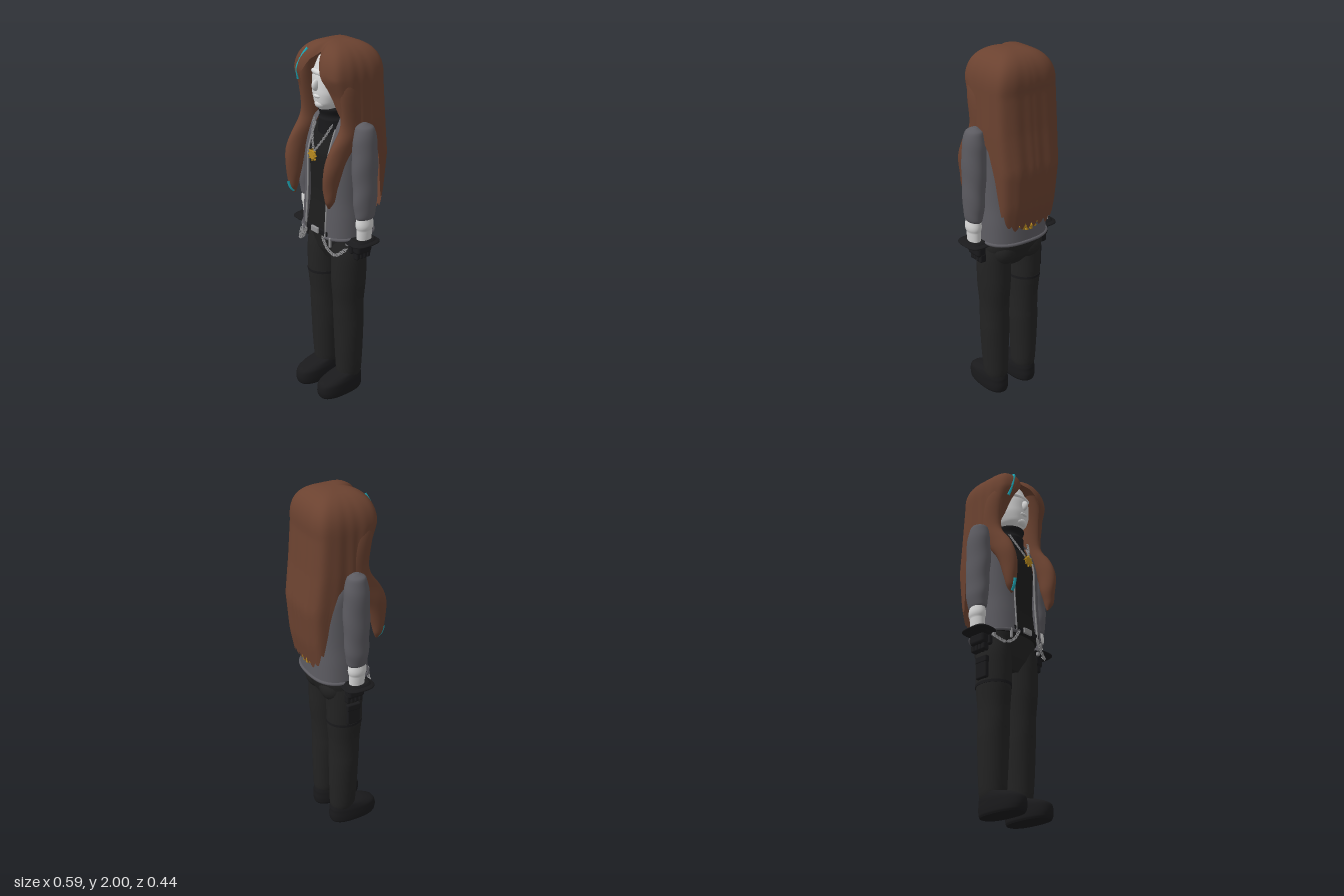
import * as THREE from 'three';
import { mergeGeometries } from 'three/addons/utils/BufferGeometryUtils.js';
import { RoundedBoxGeometry } from 'three/addons/geometries/RoundedBoxGeometry.js';

const mat = (name, color, side = THREE.FrontSide) => {
  const m = new THREE.MeshStandardMaterial({ color, side });
  m.name = name;
  return m;
};

// piecewise-linear lookup in [[x, value], ...]
function lookup(table, x) {
  for (let i = 1; i < table.length; i++) {
    const [x0, v0] = table[i - 1], [x1, v1] = table[i];
    if (x <= x1) return v0 + (v1 - v0) * Math.max(0, (x - x0) / (x1 - x0));
  }
  return table[table.length - 1][1];
}

// radius of a unit rounded square at angle a
const squircle = (a, e) => (Math.abs(Math.sin(a)) ** e + Math.abs(Math.cos(a)) ** e) ** (-1 / e);

// grid of points (rows top to bottom, columns from +z towards +x) to a surface
function gridSurface(rows, cols, closed, point, caps = false) {
  const pos = [], idx = [], w = closed ? cols : cols + 1;
  for (let j = 0; j <= rows; j++)
    for (let i = 0; i < w; i++) pos.push(...point(i / cols, j / rows));
  for (let j = 0; j < rows; j++)
    for (let i = 0; i < cols; i++) {
      const a = j * w + i, c = j * w + (i + 1) % w;
      idx.push(a, a + w, c, c, a + w, c + w);
    }
  if (caps) for (const j of [0, rows]) {
    const base = pos.length / 3, c = [0, 0, 0];
    for (let i = 0; i < w; i++) {
      const p = pos.slice((j * w + i) * 3, (j * w + i) * 3 + 3);
      pos.push(...p);
      p.forEach((v, k) => { c[k] += v / w; });
    }
    pos.push(...c);
    for (let i = 0; i < w; i++) {
      const n = (i + 1) % w;
      if (j) idx.push(base + w, base + n, base + i);
      else idx.push(base + w, base + i, base + n);
    }
  }
  const g = new THREE.BufferGeometry();
  g.setAttribute('position', new THREE.Float32BufferAttribute(pos, 3));
  g.setIndex(idx);
  g.computeVertexNormals();
  return g;
}

// loft through keys [y, cx, cz, rx, rz]; gap leaves an opening at the front, gap wide on each side
function loft(keys, { e = 2, rows = 28, cols = 32, gap = 0, wave = 0 } = {}) {
  const mid = new THREE.CatmullRomCurve3(keys.map(k => new THREE.Vector3(k[1], k[0], k[2])));
  const rad = new THREE.CatmullRomCurve3(keys.map(k => new THREE.Vector3(k[3], k[4], 0)));
  return gridSurface(rows, cols, !gap, (u, v) => {
    const c = mid.getPoint(v), r = rad.getPoint(v);
    const a0 = gap ? Math.atan2(gap / r.x, 1) : 0;
    const a = a0 + u * (Math.PI * 2 - 2 * a0);
    const s = squircle(a, e) * (1 + wave * Math.sin(v * 30 + Math.sin(a) * 2));
    return [c.x + r.x * s * Math.sin(a), c.y, c.z + r.y * s * Math.cos(a)];
  }, !gap);
}

// hair shell: rounded box dome with a face opening and a long ragged back
function hairShell() {
  const hem = [[0, 1.95], [.22, 1.91], [.5, 1.8], [.65, 1.67], [.8, 1.6], [1.6, 1.58], [1.95, 1.5], [2.25, 1.18], [2.5, 1.1], [3.15, 1.1]];
  const front = [[1.55, .12], [1.65, .125], [1.75, .145], [1.84, .18], [2, .185]];
  const back = [[1.05, .175], [1.2, .205], [1.4, .22], [1.6, .195], [1.8, .18], [2, .19]];
  const width = [[1.05, .175], [1.4, .195], [1.6, .2], [2, .193]];
  return gridSurface(48, 120, true, (u, v) => {
    const a = u * Math.PI * 2, fa = Math.min(a, Math.PI * 2 - a);
    const rag = fa > 2.1 ? .035 * Math.abs(Math.sin(fa * 15)) : 0;
    const y = 2 - (2 - lookup(hem, fa) + rag) * v * v;
    const dome = y > 1.8 ? Math.max(0, 1 - ((y - 1.8) / .2) ** 2.6) ** .385 : 1;
    const s = dome * squircle(a, 4.5) * (1 + .01 * Math.sin(fa * 17) * v);
    const notch = 1 - .22 * Math.exp(-((fa / .2) ** 2));
    const rz = Math.cos(a) > 0 ? lookup(front, y) * notch : lookup(back, y);
    return [Math.sin(a) * s * lookup(width, y), y, Math.cos(a) * s * rz];
  });
}

// chain of alternating links along a curve
function chain(points, count, r) {
  const curve = new THREE.CatmullRomCurve3(points.map(p => new THREE.Vector3(...p)));
  const links = [];
  for (let i = 0; i < count; i++) {
    const t = (i + .5) / count, o = new THREE.Object3D();
    o.quaternion.setFromUnitVectors(new THREE.Vector3(1, 0, 0), curve.getTangentAt(t));
    o.rotateX(i % 2 ? Math.PI / 2 : 0);
    o.scale.set(1.5, 1, 1);
    o.position.copy(curve.getPointAt(t));
    o.updateMatrix();
    links.push(new THREE.TorusGeometry(r, r * .32, 5, 8).applyMatrix4(o.matrix));
  }
  return mergeGeometries(links);
}

// toothed wheel facing z
function gear(r, tube, teeth, spokes) {
  const parts = [new THREE.TorusGeometry(r, tube, 8, 32), new THREE.TorusGeometry(r * .35, tube, 6, 16)];
  const bar = (n, len, at, w) => {
    for (let i = 0; i < n; i++)
      parts.push(new THREE.BoxGeometry(len, w, tube * 1.6).translate(at, 0, 0).rotateZ(i / n * Math.PI * 2));
  };
  bar(teeth, tube * 2, r + tube * 1.3, r * .2);
  bar(spokes, r * .65, r * .67, tube);
  return mergeGeometries(parts);
}

export function createModel() {
  const D = THREE.DoubleSide;
  const hair = mat('brown hair', 0x6b4230, D), streak = mat('teal streak', 0x1fa9b8);
  const skin = mat('pale skin', 0xd6d6d6), grey = mat('grey jacket', 0x5c5b61, D);
  const shirt = mat('black shirt', 0x1d1d1d), pants = mat('black trousers', 0x232323);
  const leather = mat('black leather', 0x1a1a1c), silver = mat('silver', 0x8e8e90), gold = mat('gold', 0xb98a1e);
  const model = new THREE.Group();
  const add = (name, geo, m, x = 0, y = 0, z = 0, parent = model) => {
    const mesh = new THREE.Mesh(geo, m);
    mesh.name = name;
    mesh.position.set(x, y, z);
    parent.add(mesh);
    return mesh;
  };
  const ball = (name, m, x, y, z, sx, sy, sz) =>
    add(name, new THREE.SphereGeometry(1, 24, 16), m, x, y, z).scale.set(sx, sy, sz);
  const tube = (pts, r) => new THREE.TubeGeometry(new THREE.CatmullRomCurve3(pts.map(p => new THREE.Vector3(...p))), 24, r, 8);

  // head and face
  add('head', loft([[1.95, 0, .02, .02, .02], [1.92, 0, .02, .07, .085], [1.82, 0, .03, .1, .11], [1.75, 0, .035, .095, .11], [1.69, 0, .045, .072, .095], [1.655, 0, .06, .035, .06]], { e: 2.2 }), skin);
  ball('nose', skin, 0, 1.785, .145, .014, .03, .026);
  ball('brow', skin, 0, 1.845, .115, .07, .02, .025);
  ball('lips', skin, 0, 1.728, .138, .026, .011, .014);
  ball('chin', skin, 0, 1.685, .115, .035, .025, .03);

  // hair
  add('hairShell', hairShell(), hair);
  const lock = [[1.92, .12, .08, .03, .04], [1.8, .157, .07, .04, .065], [1.6, .163, .045, .038, .068], [1.5, .163, .1, .038, .075], [1.4, .162, .158, .038, .062], [1.29, .153, .177, .035, .043], [1.21, .153, .182, .023, .026], [1.17, .145, .18, .004, .006]];
  for (const s of [1, -1])
    add(s > 0 ? 'leftLock' : 'rightLock', loft(lock.map(([y, x, ...k]) => [y, s * x, ...k]), { rows: 40, wave: .02 }), hair);
  add('tealStreak', tube([[-.075, 1.96, .135], [-.1, 1.91, .155], [-.125, 1.85, .165], [-.138, 1.79, .15]], .009), streak);
  add('tealLockTip', tube([[-.155, 1.24, .215], [-.152, 1.2, .202], [-.147, 1.18, .185]], .009), streak);

  // shirt and collar
  add('shirt', loft([[1.6, 0, 0, .1, .06], [1.52, 0, 0, .145, .1], [1.4, 0, 0, .15, .135], [1.2, 0, 0, .15, .125], [.98, 0, 0, .17, .145]], { e: 2.5 }), shirt);
  add('collar', loft([[1.655, 0, .03, .083, .085], [1.6, 0, .025, .083, .085], [1.52, 0, .02, .09, .09]]), leather);

  // open jacket with hem and zip edges
  const coat = [[1.62, 0, -.01, .1, .065], [1.58, 0, -.005, .17, .085], [1.5, 0, 0, .19, .115], [1.4, 0, 0, .185, .145], [1.2, 0, .002, .183, .148], [1.08, 0, .003, .19, .155], [.975, 0, .004, .195, .16]];
  const coatGeo = loft(coat, { e: 2.6, cols: 48, gap: .085 });
  add('jacket', coatGeo, grey);
  const p = coatGeo.attributes.position, at = i => [p.getX(i), p.getY(i), p.getZ(i)];
  const hem = [], W = 49;
  for (let i = 0; i < W; i += 2) hem.push(at(28 * W + i));
  add('jacketHem', new THREE.TubeGeometry(new THREE.CatmullRomCurve3(hem.map(q => new THREE.Vector3(...q))), 64, .009, 8), grey);
  for (const col of [0, W - 1]) {
    const edge = [];
    for (let j = 6; j <= 28; j += 2) edge.push(at(j * W + col));
    add('zipEdge', tube(edge, .005), silver);
  }
  add('backGear', gear(.065, .008, 18, 6), gold, 0, 1.13, -.162);

  // necklace
  for (const s of [1, -1])
    add('necklace', chain([[s * .075, 1.585, .1], [s * .045, 1.51, .135], [0, 1.435, .165]], 16, .006), silver);
  add('pendant', gear(.02, .006, 8, 4), gold, 0, 1.42, .172);
  add('pendantDisc', new THREE.CylinderGeometry(.018, .018, .012, 20).rotateX(Math.PI / 2), gold, 0, 1.42, .172);

  // hips and belt
  add('hips', loft([[1, 0, 0, .165, .135], [.94, 0, -.005, .18, .125], [.86, 0, 0, .165, .1], [.8, 0, .01, .08, .06]], { e: 2.3 }), pants);
  add('belt', new RoundedBoxGeometry(.19, .03, .02, 2, .006), leather, 0, .995, .148);
  add('buckle', new RoundedBoxGeometry(.06, .032, .014, 2, .004), silver, 0, .997, .16);

  for (const s of [1, -1]) {
    const side = new THREE.Group();
    side.name = s > 0 ? 'leftLimbs' : 'rightLimbs';
    model.add(side);
    const part = (name, geo, m, x, y, z) => add(name, geo, m, x, y, z, side);
    const limb = (keys, o) => loft(keys.map(([y, x, ...k]) => [y, s * x, ...k]), o);

    // arm
    part('sleeve', limb([[1.615, .215, .01, .012, .015], [1.595, .218, .01, .046, .05], [1.52, .222, .01, .06, .066], [1.4, .224, .01, .061, .072], [1.28, .228, .01, .056, .069], [1.18, .23, .011, .052, .066], [1.11, .23, .012, .042, .056], [1.095, .23, .012, .034, .046]], { rows: 40, wave: .018 }), grey);
    part('forearm', limb([[1.12, .232, .014, .034, .045], [1.04, .231, .014, .034, .045], [.96, .228, .014, .031, .042]]), skin);
    part('cuff', limb([[.985, .224, .02, .044, .06], [.975, .224, .02, .052, .07], [.955, .222, .02, .052, .07], [.945, .22, .02, .04, .06]], { e: 3 }), leather);
    part('palm', new RoundedBoxGeometry(.055, .065, .1, 3, .018), leather, s * .212, .925, .012);
    for (let i = 0; i < 4; i++)
      part('finger', new RoundedBoxGeometry(.04, .05, .024, 2, .009), leather, s * .205, .885, .045 - i * .024);
    part('thumb', new RoundedBoxGeometry(.026, .055, .026, 2, .01), leather, s * .185, .92, .06);

    // leg and shoe
    part('leg', limb([[.96, .095, 0, .08, .1], [.85, .102, .01, .09, .101], [.7, .102, .012, .088, .1], [.56, .1, .012, .08, .088], [.48, .1, .012, .08, .086], [.42, .1, .01, .082, .084], [.25, .1, .008, .074, .08], [.12, .098, .006, .066, .074], [.08, .098, .006, .055, .065]], { rows: 36 }), pants);
    ball('seat', pants, s * .08, .905, -.045, .082, .085, .075);
    part('shoe', limb([[.125, .097, .005, .055, .06], [.105, .097, .045, .063, .11], [.08, .097, .068, .069, .138], [.04, .097, .072, .07, .144], [.012, .097, .071, .068, .14], [0, .097, .07, .062, .134]], { e: 2.5 }), leather);

    // hip chain and clip
    part('hipChain', chain([[s * .07, .975, .165], [s * .105, .92, .16], [s * .15, .895, .145], [s * .19, .93, .1]], 18, .008), silver);
    part('chainClip', new RoundedBoxGeometry(.012, .055, .014, 2, .004), silver, s * .115, .955, .15);
    part('wristClip', new RoundedBoxGeometry(.018, .03, .018, 2, .004), silver, s * .175, .955, .08);
  }

  // thigh pouch and strap
  add('thighPouch', new RoundedBoxGeometry(.035, .115, .075, 2, .008), leather, -.187, .768, .015);
  add('pouchFlap', new RoundedBoxGeometry(.04, .04, .08, 2, .008), leather, -.187, .815, .015);
  add('thighStrap', loft([[.7, -.102, .012, .09, .102], [.685, -.102, .012, .09, .102]], { rows: 2 }), leather);
  return model;
}
